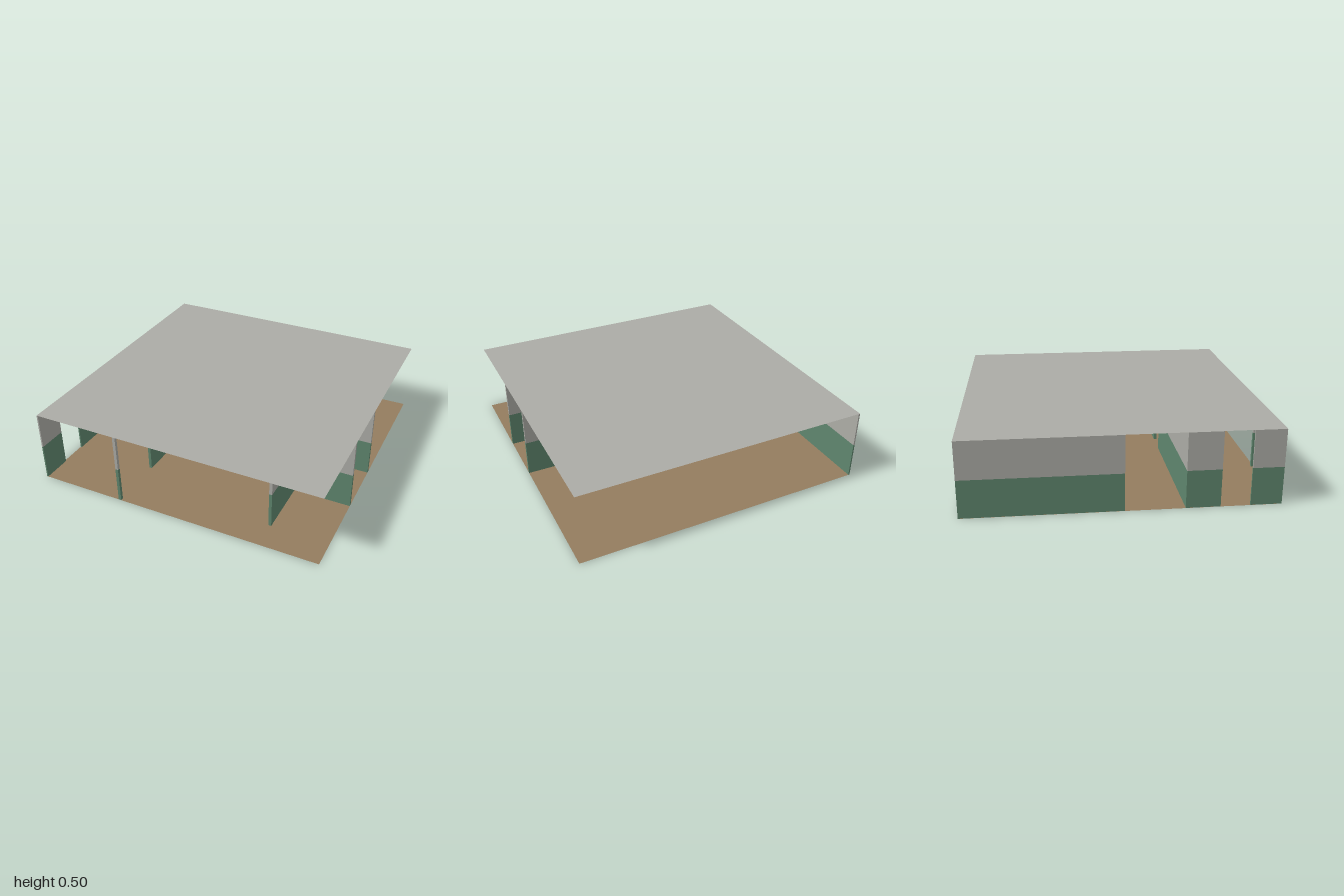
import * as THREE from 'three';

export function createModel() {
  const group = new THREE.Group();
  const mat = (name, color, side = THREE.FrontSide) => {
    const m = new THREE.MeshStandardMaterial({ color, side });
    m.name = name;
    return m;
  };
  const grey = mat('plaster grey', 0xacaca6, THREE.DoubleSide);
  const green = mat('dado green', 0x5f866e);
  const brown = mat('floor brown', 0x947d5f, THREE.DoubleSide);

  // Floor and ceiling sheets
  const sheet = (name, y, material) => {
    const geometry = new THREE.PlaneGeometry(2, 2).rotateX(-Math.PI / 2);
    const mesh = new THREE.Mesh(geometry, material);
    mesh.name = name;
    mesh.position.y = y;
    group.add(mesh);
  };
  sheet('floor', 0, brown);
  sheet('ceiling', 0.5, grey);

  // A wall is a green lower half and a grey upper half, just clear of the sheets
  const wall = (name, x0, x1, z0, z1) => {
    const part = new THREE.Group();
    part.name = name;
    for (const [half, y0, y1, material] of [
      ['lowerHalf', 0.001, 0.25, green],
      ['upperHalf', 0.25, 0.499, grey],
    ]) {
      const mesh = new THREE.Mesh(new THREE.BoxGeometry(x1 - x0, y1 - y0, z1 - z0), material);
      mesh.name = half;
      mesh.position.set((x0 + x1) / 2, (y0 + y1) / 2, (z0 + z1) / 2);
      part.add(mesh);
    }
    group.add(part);
  };

  // Outer wall on the right side, with a doorway and the corridor opening
  wall('outerWallBack', -1, -0.99, -1, 0);
  wall('outerWallMiddle', -1, -0.99, 0.4, 0.61);
  wall('outerWallFront', -1, -0.99, 0.8, 1);

  // Corridor walls, each with one doorway
  wall('corridorBackWallLong', -1, 0.4, -0.01, 0.01);
  wall('corridorBackWallShort', 0.59, 1, -0.01, 0.01);
  wall('corridorFrontWallRight', -1, 0, 0.39, 0.41);
  wall('corridorFrontWallLeft', 0.19, 1, 0.39, 0.41);

  // Partitions between the front rooms, and a post at the front edge
  wall('partitionRight', -0.41, -0.39, 0.41, 0.61);
  wall('partitionLeft', 0.59, 0.61, 0.41, 0.81);
  wall('frontPost', -0.41, -0.39, 0.98, 1);

  return group;
}
